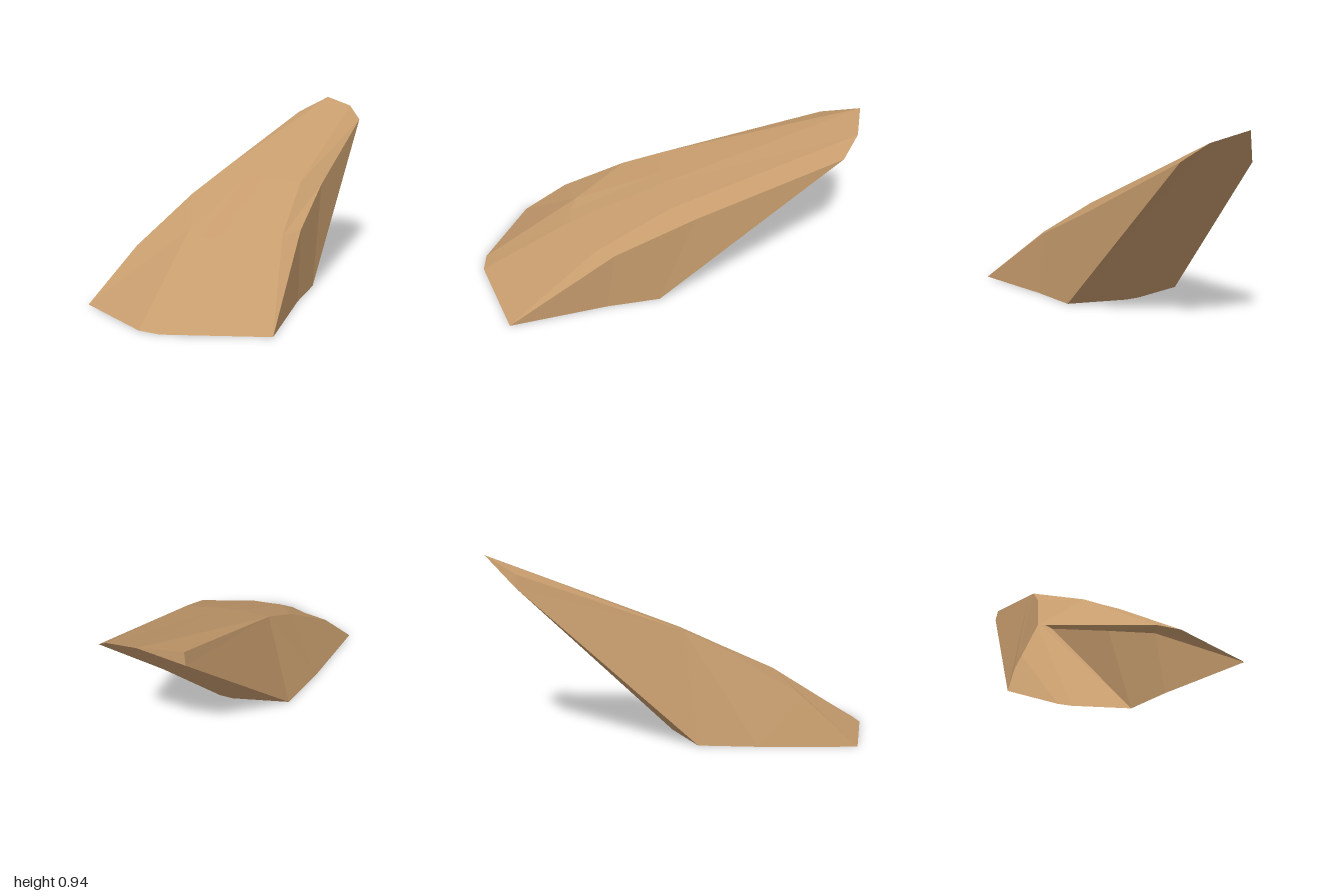
import * as THREE from 'three';

// Leaning faceted rock spike: a hollow shell lofted from columns of points.
export function createModel() {
  const rock = new THREE.MeshStandardMaterial({ color: 0xc69c6d, flatShading: true, side: THREE.DoubleSide });
  rock.name = 'sandstone';

  // Tip rim
  const peak = [0, 0.94, -1], tipRight = [0.17, 0.89, -0.95], tipSide = [0.26, 0.81, -0.87];
  const tipLeft = [-0.13, 0.85, -0.84], tipLeftLow = [-0.14, 0.79, -0.85];
  // Base outline corners
  const frontA = [-0.06, 0, 1], frontB = [0.05, 0, 1], cornerR = [0.49, 0, 0.81], cornerL = [-0.49, 0, 0.81];
  const sideR = [0.38, 0, 0.31], sideL = [-0.41, 0, 0.32], backR = [0.34, 0, 0.03], backL = [-0.34, 0, 0.03];
  const rearR = [0.04, 0, -0.055], rearL = [-0.04, 0, -0.055];
  // Bends on the front and sides
  const kneeA = [-0.05, 0.315, 0.5], kneeB = [0.04, 0.31, 0.5], kneeL = [-0.13, 0.34, 0.47], kneeR = [0.32, 0.33, 0.36];
  const ridgeR = [0.37, 0.34, 0.26], ridgeL = [-0.39, 0.245, 0.55], ridgeL2 = [-0.28, 0.465, 0.2];
  const shoulderA = [-0.05, 0.55, 0], shoulderB = [0.04, 0.545, 0];
  const shoulderC = [0.24, 0.53, -0.03], shoulderR = [0.31, 0.51, -0.15], shoulderL = [-0.225, 0.565, -0.02];

  // Columns run from base to tip, going round from the front; repeated points merge facets
  const columns = [
    [frontA, kneeA, kneeA, shoulderA, peak],
    [frontB, kneeB, kneeB, shoulderB, peak],
    [cornerR, kneeR, kneeR, shoulderC, tipRight],
    [cornerR, ridgeR, ridgeR, shoulderR, tipSide],
    [sideR, sideR, sideR, shoulderR, tipSide],
    [backR, backR, backR, backR, tipSide],
    [rearR, rearR, rearR, rearR, tipRight],
    [rearL, rearL, rearL, rearL, peak],
    [backL, backL, backL, backL, tipLeftLow],
    [sideL, sideL, sideL, shoulderL, tipLeftLow],
    [cornerL, ridgeL, ridgeL2, shoulderL, tipLeft],
    [frontA, kneeL, kneeL, shoulderL, tipLeft],
  ];

  const positions = [];
  const triangle = (a, b, c) => {
    if (a !== b && b !== c && c !== a) positions.push(...a, ...b, ...c);
  };
  columns.forEach((col, i) => {
    const next = columns[(i + 1) % columns.length];
    for (let j = 0; j < col.length - 1; j++) {
      triangle(col[j], next[j], next[j + 1]);
      triangle(col[j], next[j + 1], col[j + 1]);
    }
  });
  // Chipped facet beside the peak
  triangle(peak, tipLeftLow, tipLeft);

  const geometry = new THREE.BufferGeometry();
  geometry.setAttribute('position', new THREE.Float32BufferAttribute(positions, 3));
  geometry.computeVertexNormals();

  const spike = new THREE.Mesh(geometry, rock);
  spike.name = 'rockSpike';
  const group = new THREE.Group();
  group.name = 'leaningRock';
  group.add(spike);
  return group;
}
